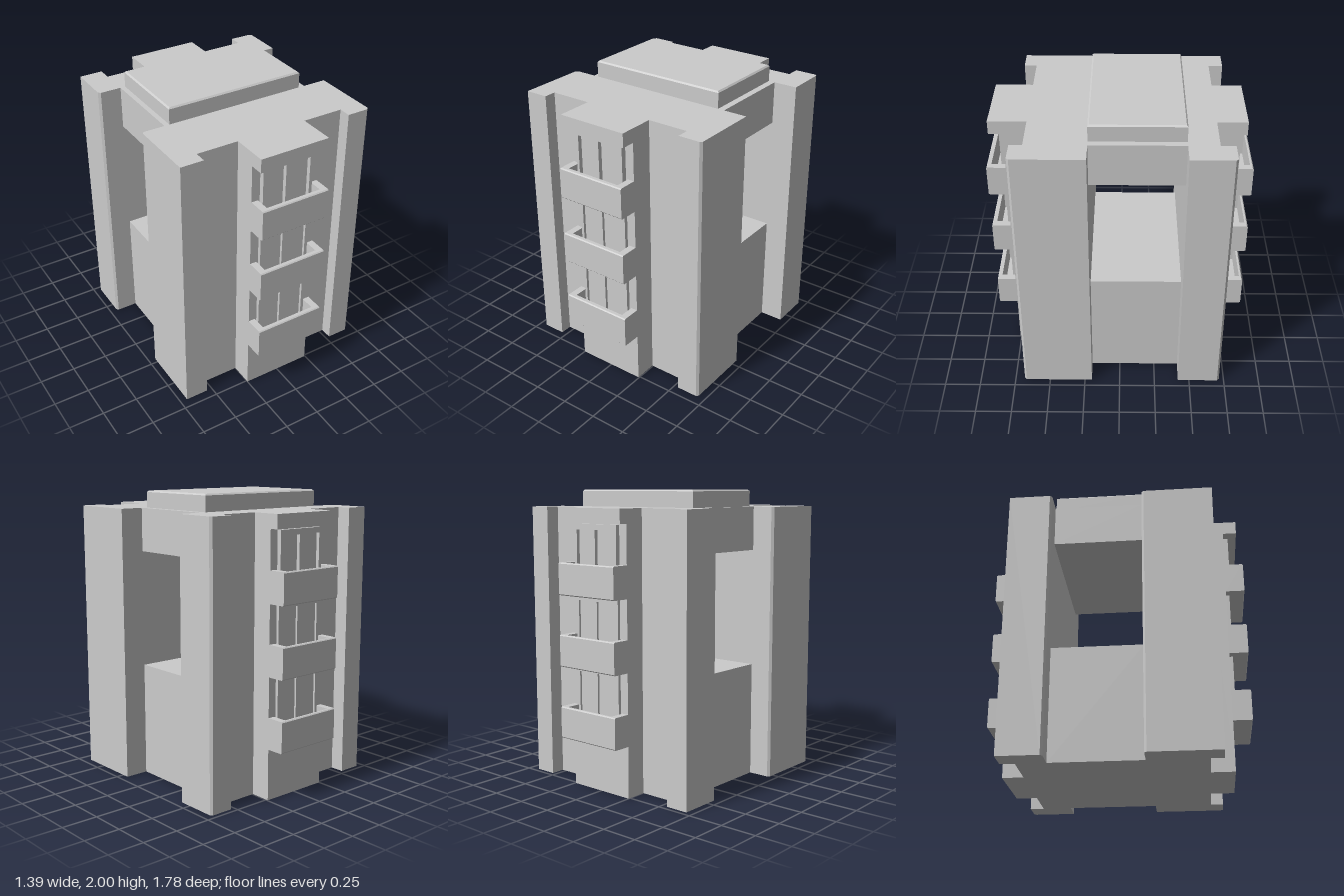
import * as THREE from 'three';

const material = new THREE.MeshStandardMaterial({ color: 0xcccccc, flatShading: true });
const HEIGHT = 1.885;

function add(parent, name, geometry) {
  const mesh = new THREE.Mesh(geometry, material);
  mesh.name = name;
  parent.add(mesh);
  return mesh;
}

function box(parent, name, [x0, x1], [y0, y1], [z0, z1]) {
  const g = new THREE.BoxGeometry(x1 - x0, y1 - y0, z1 - z0);
  g.translate((x0 + x1) / 2, (y0 + y1) / 2, (z0 + z1) / 2);
  return add(parent, name, g);
}

const shapeOf = (pts) => new THREE.Shape(pts.map(([x, y]) => new THREE.Vector2(x, y)));

// Plan outline in (x, z), extruded upwards
function plan(parent, name, pts, height) {
  const g = new THREE.ExtrudeGeometry(shapeOf(pts.map(([x, z]) => [x, -z])), { depth: height, bevelEnabled: false });
  g.rotateX(-Math.PI / 2);
  return add(parent, name, g);
}

// Side profile in (z, y), extruded across x
function profile(parent, name, pts, x0, x1) {
  const g = new THREE.ExtrudeGeometry(shapeOf(pts), { depth: x1 - x0, bevelEnabled: false });
  g.rotateY(-Math.PI / 2);
  g.translate(x1, 0, 0);
  return add(parent, name, g);
}

// Tray-shaped balcony with slightly bevelled outer edges
function balcony(parent, y, depth, wall) {
  const group = new THREE.Group();
  group.name = 'balcony';
  const h = 0.215, b = 0.007, half = 0.2475, inner = 0.2, floor = 0.05;
  const outer = [[0, y], [depth - b, y], [depth, y + b], [depth, y + h - b], [depth - b, y + h]];
  for (const s of [-1, 1]) {
    profile(group, 'balconySide', [...outer, [0, y + h]], Math.min(s * half, s * inner), Math.max(s * half, s * inner));
  }
  profile(group, 'balconyFloorAndParapet',
    [...outer, [depth - wall, y + h], [depth - wall, y + floor], [0, y + floor]], -inner, inner);
  parent.add(group);
}

// Window frame with two openings and recessed panes
function windowUnit(parent, y0, y1, depth) {
  const group = new THREE.Group();
  group.name = 'window';
  const frame = shapeOf([[-0.187, y0], [0.185, y0], [0.185, y1], [-0.187, y1]]);
  for (const [a, b] of [[-0.168, -0.018], [-0.003, 0.163]]) {
    frame.holes.push(new THREE.Path([[a, y0 + 0.04], [a, y1 - 0.037], [b, y1 - 0.037], [b, y0 + 0.04]]
      .map((p) => new THREE.Vector2(...p))));
    box(group, 'windowPane', [a, b], [y0 + 0.04, y1 - 0.037], [0, 0.006]);
  }
  add(group, 'windowFrame', new THREE.ExtrudeGeometry(frame, { depth, bevelEnabled: false }));
  parent.add(group);
}

function facade(parent, name, canopy, depth, wall, topFrame) {
  const group = new THREE.Group();
  group.name = name;
  box(group, 'canopy', [-0.2475, 0.2475], [1.79, HEIGHT], [0, canopy]);
  const floors = [[0.35, 0.84, topFrame - 0.01], [0.837, 1.317, topFrame - 0.01], [1.315, 1.782, topFrame]];
  for (const [y, top, frameDepth] of floors) {
    balcony(group, y, depth, wall);
    windowUnit(group, y + 0.05, top, frameDepth);
  }
  parent.add(group);
  return group;
}

export function createModel() {
  const model = new THREE.Group();
  model.name = 'apartmentBlock';
  const c = 0.015, L = -0.7, R = 0.695;

  // Front and back towers, with corner piers and the central bay
  plan(model, 'frontTower', [
    [L + c, 0.2], [R, 0.2], [R, 0.685 - c], [R - c, 0.685], [0.53, 0.685], [0.53, 0.6],
    [0.245, 0.6], [0.245, 0.76], [-0.25, 0.76], [-0.25, 0.6], [-0.54, 0.6], [-0.54, 0.685],
    [L, 0.685], [L, 0.2 + c]], HEIGHT);
  plan(model, 'backTower', [
    [L + c, -0.42], [R, -0.42], [R, -0.717 + c], [R - c, -0.717], [0.53, -0.717], [0.53, -0.62],
    [0.245, -0.62], [0.245, -0.763], [-0.25, -0.763], [-0.25, -0.62], [-0.54, -0.62], [-0.54, -0.717],
    [L, -0.717], [L, -0.42 - c]], HEIGHT);

  // Links between the towers, leaving an open passage
  box(model, 'lowerLink', [-0.54, 0.53], [0, 0.79], [-0.42, 0.2]);
  box(model, 'upperLink', [-0.54, 0.53], [1.59, HEIGHT], [-0.42, 0.2]);

  // Roof slab, its top edge pulled in for a bevel
  box(model, 'roofSlab', [-0.505, 0.485], [HEIGHT, 1.99], [-0.42, 0.2]);
  const cap = new THREE.BoxGeometry(0.99, 0.01, 0.62);
  const p = cap.attributes.position;
  for (let i = 0; i < p.count; i++) {
    if (p.getY(i) > 0) p.setXYZ(i, p.getX(i) * 0.98, p.getY(i), p.getZ(i) * 0.968);
  }
  cap.translate(-0.01, 1.995, -0.11);
  add(model, 'roofBevel', cap);

  // Balconies, windows and canopies on both sides
  facade(model, 'frontFacade', 0.095, 0.13, 0.03, 0.035).position.set(-0.0025, 0, 0.76);
  const back = facade(model, 'backFacade', 0.06, 0.123, 0.02, 0.03);
  back.position.set(-0.0025, 0, -0.763);
  back.rotation.y = Math.PI;
  return model;
}
